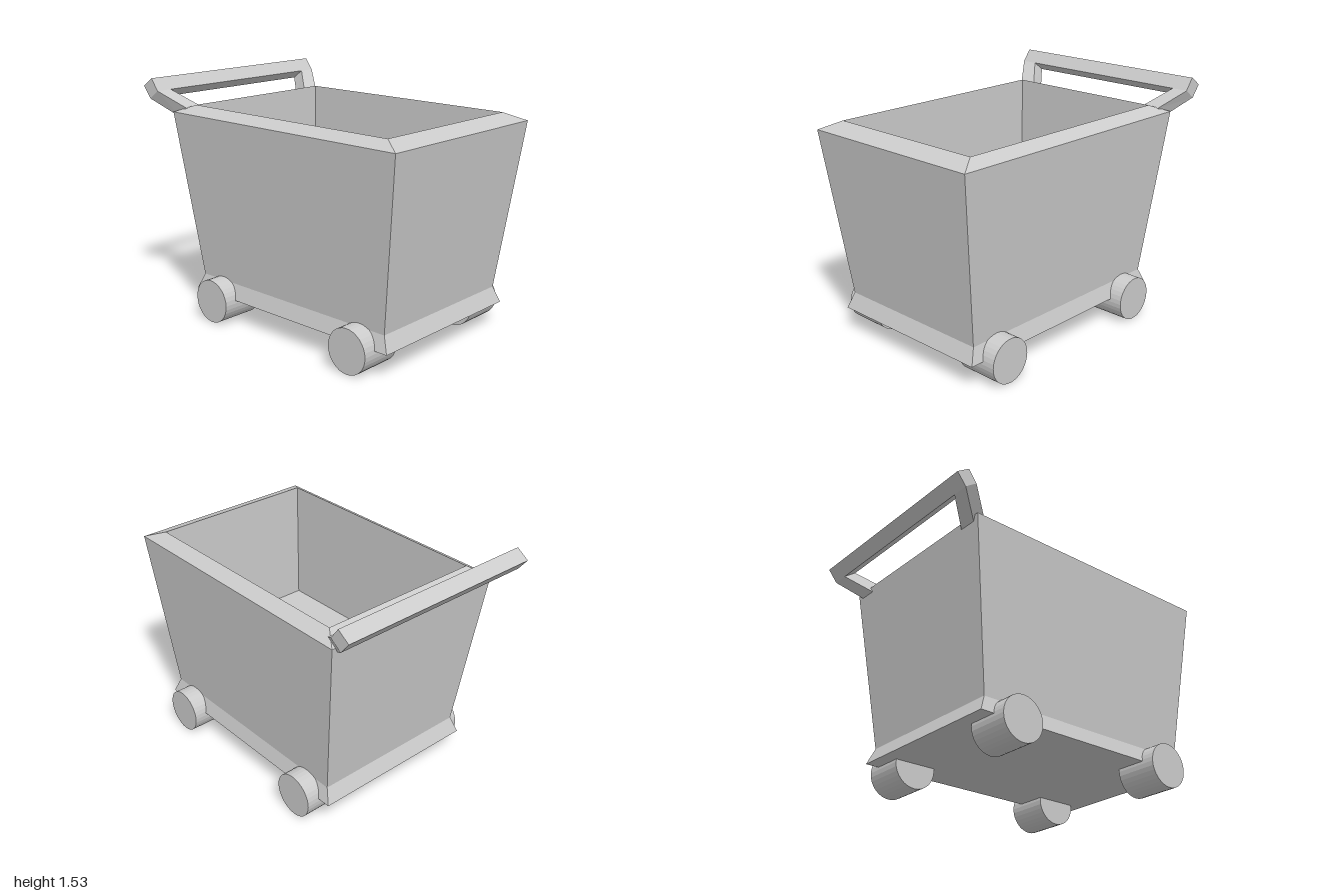
import * as THREE from 'three';

const material = new THREE.MeshStandardMaterial({ color: 0xcccccc, flatShading: true });

// Skins a row of four-cornered rings and closes both ends; flat, unshared corners.
// Corners run counter-clockwise when looking back from the last ring.
function loft(name, rings) {
  const pos = [];
  const quad = (a, b, c, d) => pos.push(...a, ...b, ...c, ...a, ...c, ...d);
  for (let r = 0; r < rings.length - 1; r++) {
    const lo = rings[r], hi = rings[r + 1];
    for (let i = 0; i < 4; i++) {
      const j = (i + 1) % 4;
      quad(lo[i], lo[j], hi[j], hi[i]);
    }
  }
  const first = rings[0], last = rings[rings.length - 1];
  quad(first[3], first[2], first[1], first[0]);
  quad(last[0], last[1], last[2], last[3]);
  const geo = new THREE.BufferGeometry();
  geo.setAttribute('position', new THREE.Float32BufferAttribute(pos, 3));
  geo.computeVertexNormals();
  const mesh = new THREE.Mesh(geo, material);
  mesh.name = name;
  return mesh;
}

// Horizontal rectangle, counter-clockwise from above
const rect = (y, x, front, back) => [[-x, y, front], [x, y, front], [x, y, back], [-x, y, back]];

export function createModel() {
  const cart = new THREE.Group();
  cart.name = 'cart';

  // Hollow tub: flared skirt, sloping walls, bevelled rim, inner walls and floor
  cart.add(loft('tub', [
    rect(0.158, 0.562, 0.907, -0.703),
    rect(0.257, 0.533, 0.865, -0.66),
    rect(1.323, 0.627, 1.0, -0.8),
    rect(1.37, 0.54, 0.875, -0.68),
    rect(0.56, 0.54, 0.875, -0.68),
  ]));

  // Four wheels
  const wheelGeo = new THREE.CylinderGeometry(0.14, 0.14, 0.277, 32).rotateZ(Math.PI / 2);
  for (const side of [-1, 1]) {
    for (const z of [0.68, -0.475]) {
      const wheel = new THREE.Mesh(wheelGeo, material);
      wheel.name = 'wheel';
      wheel.position.set(side * 0.504, 0.14, z);
      cart.add(wheel);
    }
  }

  // Push handle: tilted square bar
  const handle = new THREE.Group();
  handle.name = 'handle';
  const barRing = (x) => [[x, 1.4, -0.94], [x, 1.475, -1.0], [x, 1.53, -0.92], [x, 1.455, -0.865]];
  handle.add(loft('handleBar', [barRing(-0.695), barRing(0.695)]));

  // Two arms slanting in and down from the bar into the back rim
  const armRing = (right, left, top, bottom) => [
    [left, ...top], [right, ...top], [right, ...bottom], [left, ...bottom],
  ];
  for (const side of [-1, 1]) {
    // Sorting the two x values keeps the corner order the same on both sides
    const span = (a, b) => [side * a, side * b].sort((p, q) => p - q);
    handle.add(loft('handleArm', [
      armRing(...span(0.59, 0.695), [1.455, -0.865], [1.4, -0.94]),
      armRing(...span(0.465, 0.58), [1.345, -0.715], [1.283, -0.79]),
    ]));
  }
  cart.add(handle);

  return cart;
}
